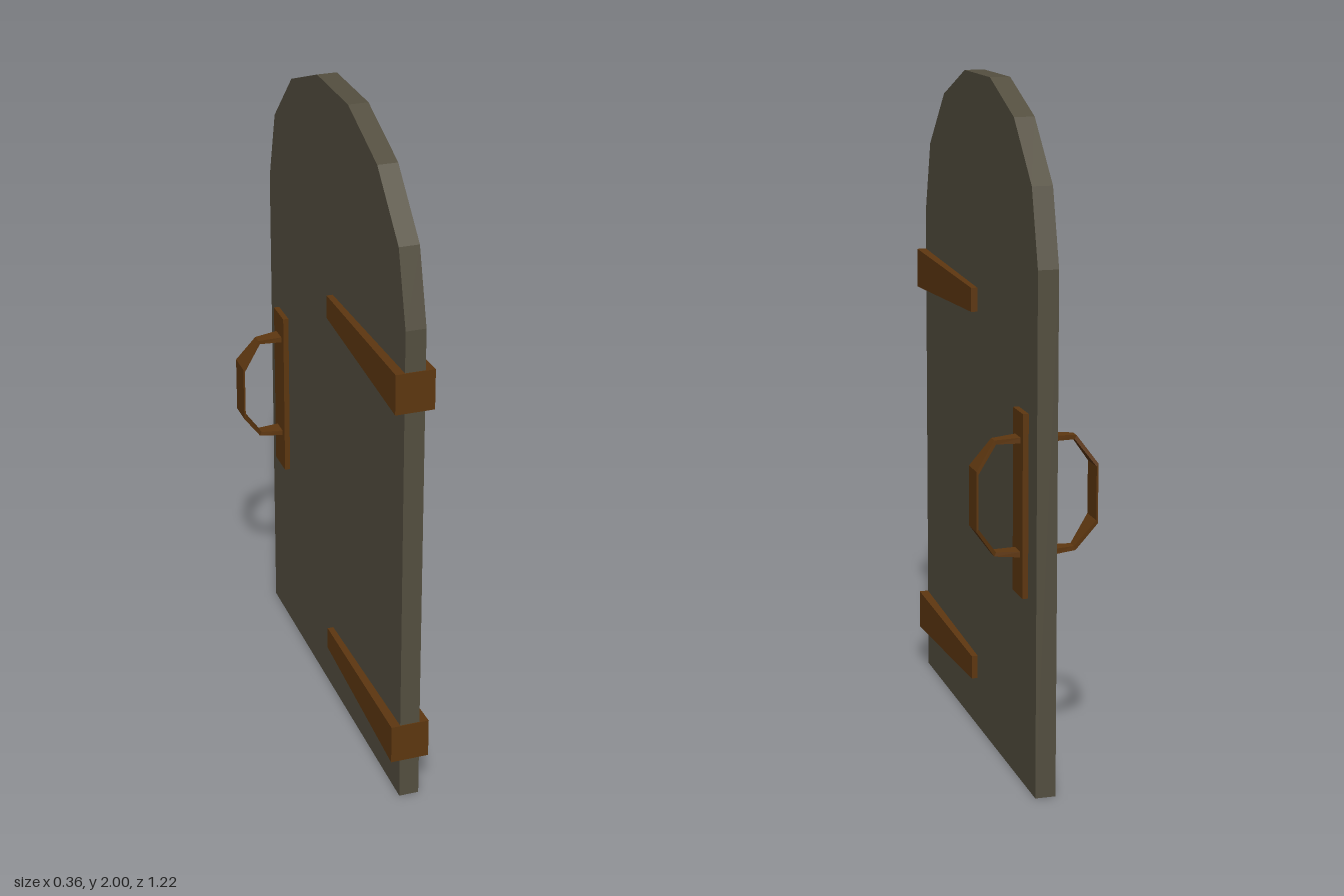
import * as THREE from 'three';

const wood = new THREE.MeshStandardMaterial({ name: 'greyWood', color: 0x544f40 });
const iron = new THREE.MeshStandardMaterial({ name: 'brownMetal', color: 0x5e3710 });

function addMesh(parent, name, geometry, material) {
  const mesh = new THREE.Mesh(geometry, material);
  mesh.name = name;
  parent.add(mesh);
  return mesh;
}

// Arched slab, profile in the z-y plane, extruded through x
function doorGeometry() {
  const half = [[0.607, 0], [0.607, 1.52], [0.547, 1.74], [0.375, 1.91], [0.135, 2]];
  const points = [...half, ...half.map(([z, y]) => [-z, y]).reverse()];
  const shape = new THREE.Shape(points.map(([z, y]) => new THREE.Vector2(z, y)));
  return new THREE.ExtrudeGeometry(shape, { depth: 0.06, bevelEnabled: false })
    .rotateY(-Math.PI / 2).translate(0.03, 0, 0);
}

// Strap wrapping the hinge edge and narrowing towards the middle of the door
function strapGeometry() {
  const geometry = new THREE.BoxGeometry(0.116, 0.122, 0.61).translate(0, 0, 0.305);
  const p = geometry.attributes.position;
  for (let i = 0; i < p.count; i++) {
    if (p.getZ(i) < 0.1) p.setXY(i, p.getX(i) * 0.84, p.getY(i) * 0.59);
  }
  geometry.computeVertexNormals();
  return geometry;
}

// Faceted pull handle lofted through flat rectangular sections, centred on y = 0
function handleGeometry() {
  // outer x, outer y, inner x, inner y, half width
  const top = [
    [0.04, 0.174, 0.04, 0.157, 0.027],
    [0.12, 0.168, 0.115, 0.156, 0.016],
    [0.178, 0.087, 0.173, 0.078, 0.04],
  ];
  const bottom = top.map(([ox, oy, ix, iy, w]) => [ox, -oy, ix, -iy, w]).reverse();
  const rings = [...top, ...bottom].map(([ox, oy, ix, iy, w]) =>
    [[ox, oy, w], [ox, oy, -w], [ix, iy, -w], [ix, iy, w]]);
  const vertices = [];
  for (let i = 0; i < rings.length - 1; i++) {
    for (let j = 0; j < 4; j++) {
      const k = (j + 1) % 4;
      const a = rings[i][j], b = rings[i][k], c = rings[i + 1][k], d = rings[i + 1][j];
      vertices.push(...a, ...d, ...c, ...a, ...c, ...b);
    }
  }
  const geometry = new THREE.BufferGeometry();
  geometry.setAttribute('position', new THREE.Float32BufferAttribute(vertices, 3));
  geometry.computeVertexNormals();
  return geometry;
}

export function createModel() {
  const model = new THREE.Group();
  model.name = 'archedDoor';
  addMesh(model, 'doorPanel', doorGeometry(), wood);

  // Two hinge straps
  const strap = strapGeometry();
  addMesh(model, 'lowerHinge', strap, iron).position.y = 0.19;
  addMesh(model, 'upperHinge', strap, iron).position.y = 1.335;

  // Plate and handle on both faces
  const handle = handleGeometry();
  const plate = new THREE.BoxGeometry(0.018, 0.535, 0.096);
  for (const [side, sign] of [['left', 1], ['right', -1]]) {
    addMesh(model, side + 'HandlePlate', plate, iron).position.set(sign * 0.038, 0.838, -0.48);
    const pull = addMesh(model, side + 'Handle', handle, iron);
    pull.position.set(0, 0.86, -0.48);
    pull.rotation.y = sign > 0 ? 0 : Math.PI;
  }
  return model;
}
